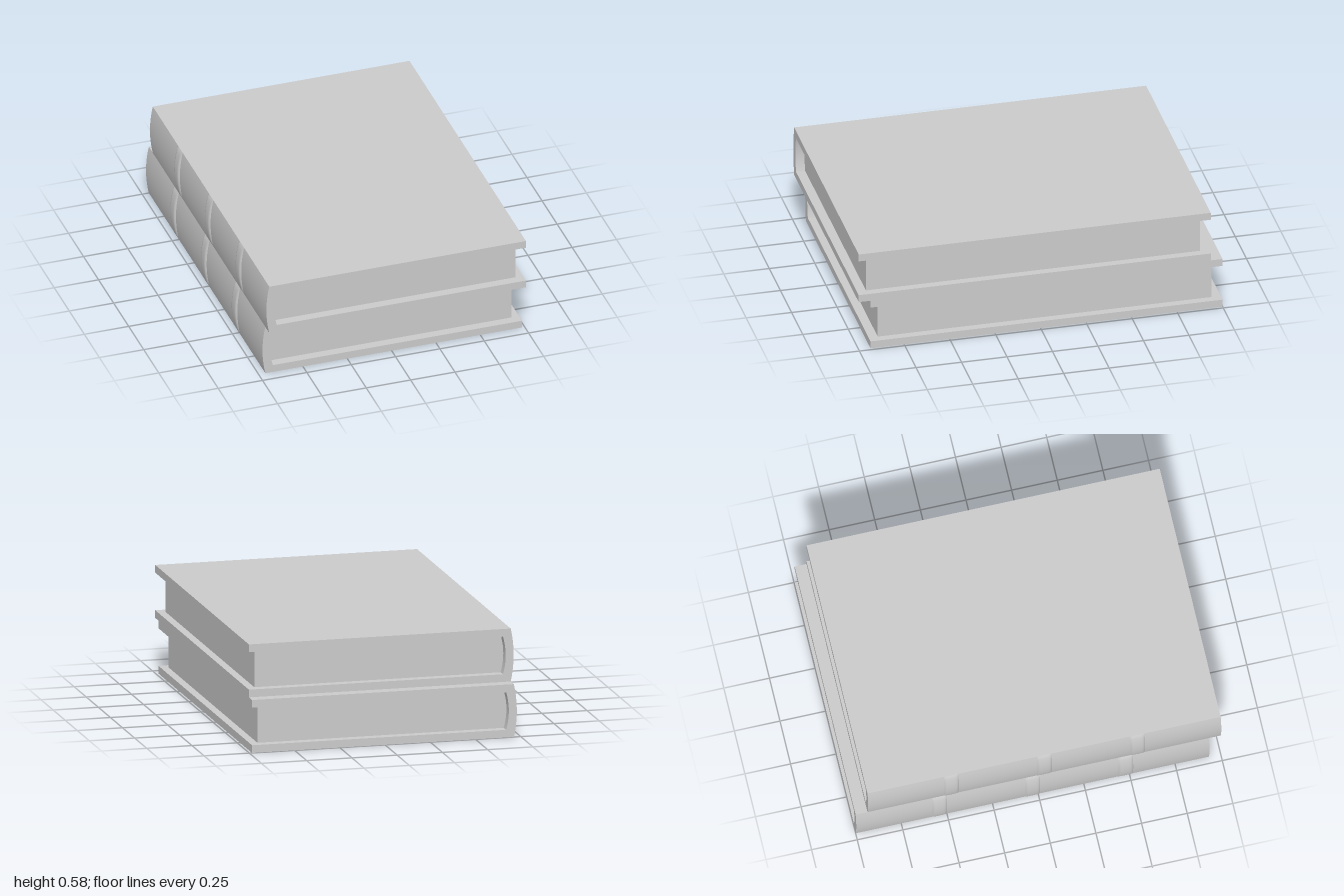
import * as THREE from 'three';
import { toCreasedNormals } from 'three/addons/utils/BufferGeometryUtils.js';

const LENGTH = 1.935, HEIGHT = 0.29, BOARD = 0.042, INSET = 0.05;
const RIGHT = 0.735, PAGE_RIGHT = 0.692;
const SPINE_X = -0.712, SPINE_BULGE = 0.016;
const INNER_X = -0.669, INNER_BULGE = 0.015;
const material = new THREE.MeshStandardMaterial({ color: 0xcccccc, side: THREE.DoubleSide });

// Extrudes a shape along z, centred, smooth along its curves
function slab(shape, length) {
  const g = new THREE.ExtrudeGeometry(shape, { depth: length, bevelEnabled: false, curveSegments: 16 });
  g.translate(0, 0, -length / 2);
  return toCreasedNormals(g, 0.5);
}

// C-shaped case: two boards joined by a rounded spine
function coverGeometry() {
  const top = HEIGHT - BOARD, mid = HEIGHT / 2;
  const s = new THREE.Shape();
  s.moveTo(SPINE_X, 0);
  s.lineTo(RIGHT, 0);
  s.lineTo(RIGHT, BOARD);
  s.lineTo(INNER_X, BOARD);
  s.quadraticCurveTo(INNER_X - 2 * INNER_BULGE, mid, INNER_X, top);
  s.lineTo(RIGHT, top);
  s.lineTo(RIGHT, HEIGHT);
  s.lineTo(SPINE_X, HEIGHT);
  s.quadraticCurveTo(SPINE_X - 2 * SPINE_BULGE, mid, SPINE_X, 0);
  return slab(s, LENGTH);
}

// Page block, rounded where it meets the spine
function pagesGeometry() {
  const s = new THREE.Shape();
  s.moveTo(INNER_X, BOARD);
  s.lineTo(PAGE_RIGHT, BOARD);
  s.lineTo(PAGE_RIGHT, HEIGHT - BOARD);
  s.lineTo(INNER_X, HEIGHT - BOARD);
  s.quadraticCurveTo(INNER_X - 2 * INNER_BULGE, HEIGHT / 2, INNER_X, BOARD);
  return slab(s, LENGTH - 2 * INSET);
}

// Raised band: a strip bent over the spine, rounded across its width
function bandGeometry() {
  const width = 0.08, raise = 0.01;
  const g = new THREE.PlaneGeometry(2, 2, 12, 24);
  const p = g.attributes.position;
  for (let i = 0; i < p.count; i++) {
    const u = p.getX(i), v = p.getY(i);
    const arch = 1 - v * v;
    const round = Math.sqrt(Math.max(0, 1 - u ** 4));
    p.setXYZ(i, SPINE_X - arch * SPINE_BULGE - raise * round * Math.sqrt(arch),
      (v + 1) * HEIGHT / 2, u * width / 2);
  }
  g.computeVertexNormals();
  return g;
}

export function createModel() {
  const model = new THREE.Group();
  model.name = 'bookStack';
  const cover = coverGeometry(), pages = pagesGeometry(), band = bandGeometry();

  const add = (parent, geometry, name, z = 0) => {
    const mesh = new THREE.Mesh(geometry, material);
    mesh.name = name;
    mesh.position.z = z;
    parent.add(mesh);
  };

  // Two identical books, slid apart along z
  ['lowerBook', 'upperBook'].forEach((name, i) => {
    const book = new THREE.Group();
    book.name = name;
    add(book, cover, 'cover');
    add(book, pages, 'pages');
    for (const z of [-0.51, 0, 0.51]) add(book, band, 'spineBand', z);
    book.position.set(0, i * HEIGHT, (i ? 1 : -1) * (1 - LENGTH / 2));
    model.add(book);
  });
  return model;
}
